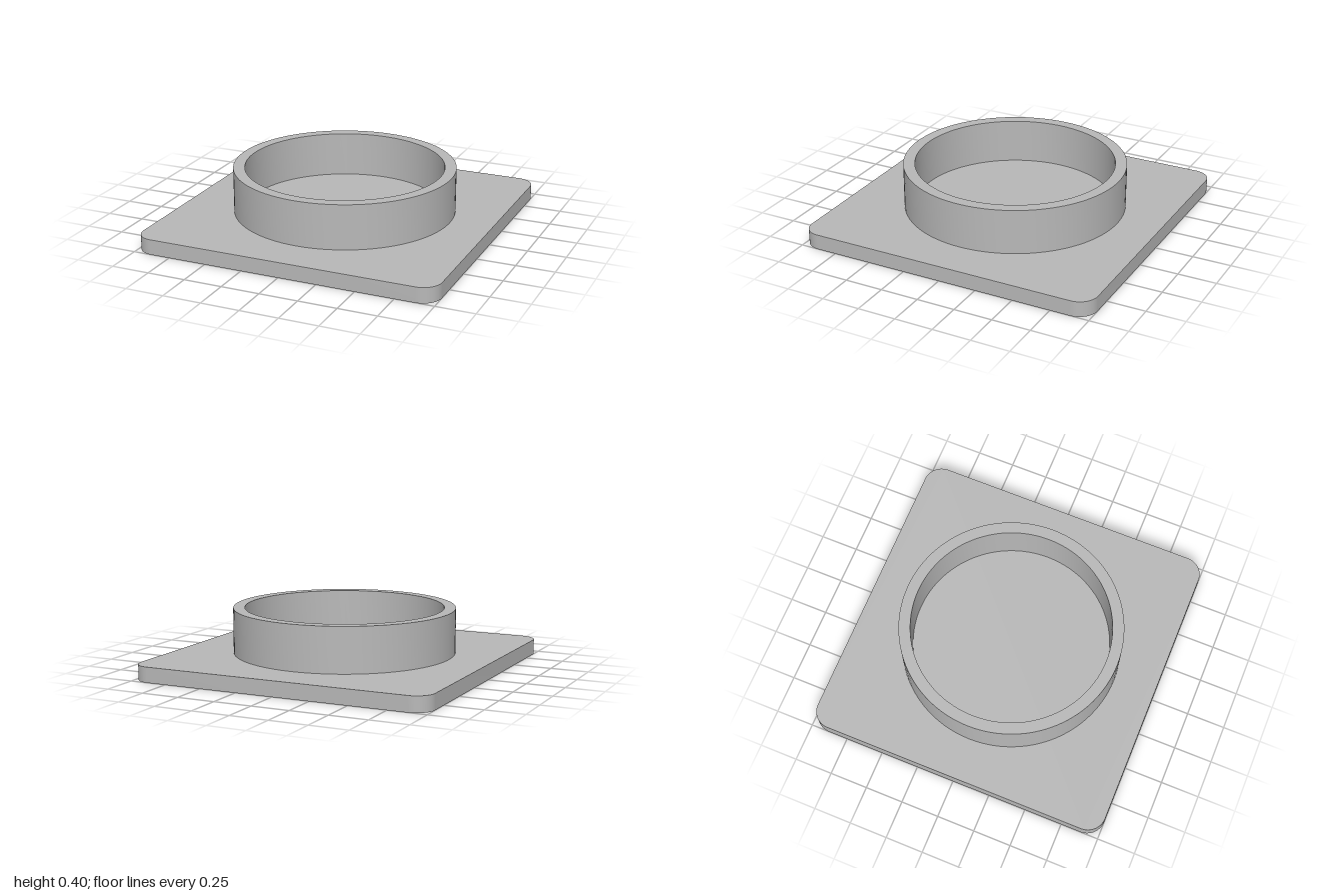
import * as THREE from 'three';
import { toCreasedNormals } from 'three/addons/utils/BufferGeometryUtils.js';

const PLATE_HEIGHT = 0.1;
const RIM_TOP = 0.395;

// Square outline with rounded corners, centred on the origin
function roundedSquare(half, radius) {
  const shape = new THREE.Shape();
  const c = half - radius;
  for (let i = 0; i < 4; i++) {
    const a = (i * Math.PI) / 2;
    const cx = i === 0 || i === 3 ? c : -c;
    const cy = i < 2 ? c : -c;
    shape.absarc(cx, cy, radius, a, a + Math.PI / 2, false);
  }
  shape.closePath();
  return shape;
}

export function createModel() {
  const model = new THREE.Group();
  model.name = 'flangedCollar';
  const grey = new THREE.MeshStandardMaterial({ color: 0xb8b8b8 });
  grey.name = 'light grey';

  // Flat base plate
  const plateGeometry = new THREE.ExtrudeGeometry(roundedSquare(1, 0.12), {
    depth: PLATE_HEIGHT,
    bevelEnabled: false,
    curveSegments: 16,
  });
  plateGeometry.rotateX(-Math.PI / 2);
  const plate = new THREE.Mesh(toCreasedNormals(plateGeometry, 0.5), grey);
  plate.name = 'basePlate';
  model.add(plate);

  // Upright ring, open at the top, standing on the plate
  const profile = [
    [0.725, PLATE_HEIGHT],
    [0.725, RIM_TOP],
    [0.65, RIM_TOP],
    [0.65, PLATE_HEIGHT],
  ].map(([r, y]) => new THREE.Vector2(r, y));
  const ring = new THREE.Mesh(toCreasedNormals(new THREE.LatheGeometry(profile, 96), 0.5), grey);
  ring.name = 'collarRing';
  model.add(ring);

  return model;
}
